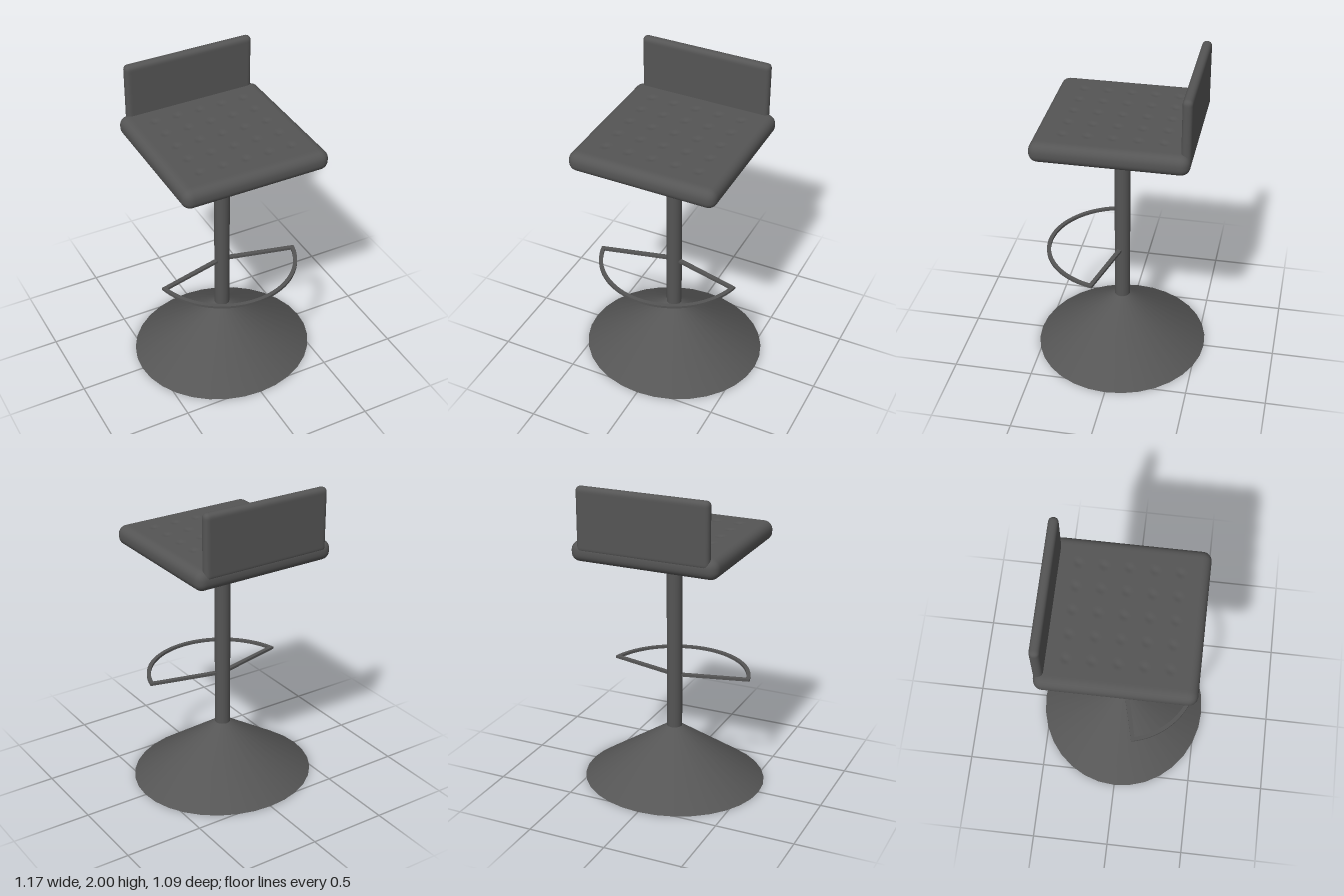
import * as THREE from 'three';
import { mergeVertices } from 'three/addons/utils/BufferGeometryUtils.js';

const material = new THREE.MeshStandardMaterial({ color: 0x555555 });

function addPart(group, name, geometry, x = 0, y = 0, z = 0) {
  const mesh = new THREE.Mesh(geometry, material);
  mesh.name = name;
  mesh.position.set(x, y, z);
  group.add(mesh);
  return mesh;
}

// Box with rounded edges; dent(x, z) lowers points on the top face
function softBox(w, h, d, r, segments, dent) {
  let geo = new THREE.BoxGeometry(w, h, d, ...segments);
  geo.deleteAttribute('uv');
  geo.deleteAttribute('normal');
  geo = mergeVertices(geo);
  const pos = geo.attributes.position;
  const p = new THREE.Vector3(), core = new THREE.Vector3();
  const limit = new THREE.Vector3(w / 2 - r, h / 2 - r, d / 2 - r);
  const low = limit.clone().negate();
  for (let i = 0; i < pos.count; i++) {
    p.fromBufferAttribute(pos, i);
    core.copy(p).clamp(low, limit);
    p.sub(core).setLength(r).add(core);
    if (dent && p.y > h / 2 - 0.001) p.y -= dent(p.x, p.z);
    pos.setXYZ(i, p.x, p.y, p.z);
  }
  geo.computeVertexNormals();
  return geo;
}

// Five by five grid of shallow tufts
function tufts(x, z) {
  const step = 0.15;
  const near = (v) => Math.max(-2, Math.min(2, Math.round(v / step))) * step;
  const dist = Math.hypot(x - near(x), z - near(z));
  return 0.008 * Math.max(0, 1 - dist / 0.03);
}

// Flat D-shaped loop whose two rear bars meet at the column
function footrestGeometry() {
  const a = 0.21;
  const shape = new THREE.Shape();
  shape.absarc(0, 0, 0.48, a, Math.PI - a, false);
  shape.lineTo(0, -0.015);
  shape.closePath();
  const hole = new THREE.Path();
  const b = 0.265;
  hole.absarc(0, 0, 0.455, b, Math.PI - b, false);
  hole.lineTo(0, 0.015);
  hole.closePath();
  shape.holes.push(hole);
  const geo = new THREE.ExtrudeGeometry(shape, { depth: 0.016, bevelEnabled: false, curveSegments: 40 });
  return geo.rotateX(Math.PI / 2);
}

export function createModel() {
  const stool = new THREE.Group();
  stool.name = 'barStool';

  // Slightly oval conical foot and round column
  const base = addPart(stool, 'base', new THREE.CylinderGeometry(0.052, 0.587, 0.36, 32), 0, 0.18, 0);
  base.scale.z = 0.93;
  addPart(stool, 'column', new THREE.CylinderGeometry(0.049, 0.049, 1.22, 32), 0, 0.95, 0);

  addPart(stool, 'footrest', footrestGeometry(), 0, 0.72, 0);

  // Tufted cushion and low back
  addPart(stool, 'seat', softBox(0.945, 0.125, 0.945, 0.055, [72, 10, 72], tufts), 0, 1.598, 0);
  addPart(stool, 'backrest', softBox(0.845, 0.4, 0.06, 0.028, [90, 44, 8]), 0, 1.8, -0.444);

  return stool;
}
